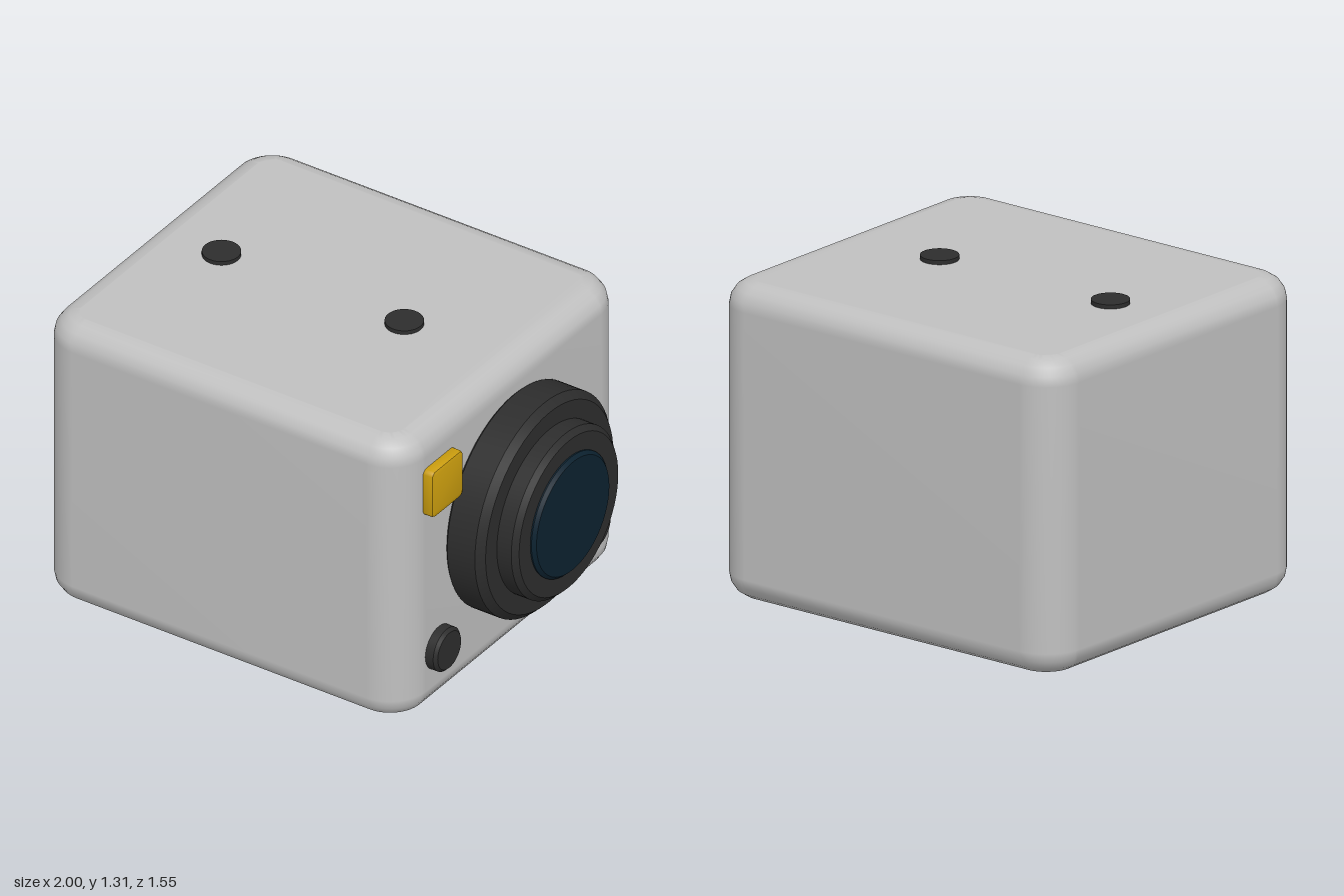
import * as THREE from 'three';
import { mergeVertices, toCreasedNormals } from 'three/addons/utils/BufferGeometryUtils.js';

const material = (name, color) => {
  const m = new THREE.MeshStandardMaterial({ color });
  m.name = name;
  return m;
};

// Rounded rectangle centred on the origin
function roundedRect(w, h, r) {
  const s = new THREE.Shape();
  const x = w / 2, y = h / 2;
  s.moveTo(-x + r, -y);
  s.lineTo(x - r, -y);
  s.absarc(x - r, -y + r, r, -Math.PI / 2, 0);
  s.lineTo(x, y - r);
  s.absarc(x - r, y - r, r, 0, Math.PI / 2);
  s.lineTo(-x + r, y);
  s.absarc(-x + r, y - r, r, Math.PI / 2, Math.PI);
  s.lineTo(-x, -y + r);
  s.absarc(-x + r, -y + r, r, Math.PI, Math.PI * 1.5);
  return s;
}

// Slab with rounded outline and bevelled rims, from z = 0 to z = depth
function slab(w, h, depth, radius, bevel, bevelSegments, curveSegments) {
  const g = new THREE.ExtrudeGeometry(roundedRect(w - 2 * bevel, h - 2 * bevel, radius - bevel), {
    depth: depth - 2 * bevel, bevelSize: bevel, bevelThickness: bevel, bevelSegments, curveSegments,
  });
  return g.translate(0, 0, bevel);
}

// Chamfered disc standing on y = 0
function disc(radius, height, chamfer, segments = 64) {
  const c = chamfer;
  const profile = [
    [0, 0], [radius - c, 0], [radius, c], [radius, height - c], [radius - c, height], [0, height],
  ].map(([r, y]) => new THREE.Vector2(r, y));
  return toCreasedNormals(new THREE.LatheGeometry(profile, segments), 0.5);
}

export function createModel() {
  const model = new THREE.Group();
  model.name = 'camera';
  const shell = material('light grey shell', 0xc0c0c0);
  const black = material('black plastic', 0x2d2d2d);
  const glass = material('dark blue glass', 0x0c2230);
  const yellow = material('yellow', 0xc99c0e);

  const add = (name, geometry, mat, x, y, z, sideways = false) => {
    const mesh = new THREE.Mesh(geometry, mat);
    mesh.name = name;
    mesh.position.set(x, y, z);
    if (sideways) mesh.rotation.z = -Math.PI / 2;
    model.add(mesh);
  };

  // Soft-edged body
  let body = slab(1.72, 1.55, 1.295, 0.17, 0.1, 4, 6);
  body.deleteAttribute('normal');
  body.deleteAttribute('uv');
  body = mergeVertices(body, 1e-4);
  body.computeVertexNormals();
  body.rotateX(-Math.PI / 2);
  add('body', body, shell, -0.14, 0, 0);

  // Stepped lens on the +x face
  add('lensBase', disc(0.473, 0.19, 0.03), black, 0.7, 0.693, 0, true);
  add('lensRing', disc(0.365, 0.18, 0.022), black, 0.8, 0.693, 0, true);
  add('lensGlass', disc(0.266, 0.1, 0.014), glass, 0.9, 0.693, 0, true);

  // Two small knobs below the lens
  for (const z of [0.517, -0.517]) {
    add('knob', disc(0.094, 0.07, 0.013, 32), black, 0.7, 0.262, z, true);
  }

  // Yellow indicator beside the lens
  const indicator = toCreasedNormals(slab(0.215, 0.215, 0.065, 0.025, 0.014, 2, 3), 0.6);
  indicator.rotateY(Math.PI / 2);
  add('indicator', indicator, yellow, 0.7, 1.037, 0.517);

  // Two flat buttons on top
  for (const x of [-0.657, 0.205]) {
    add('topButton', new THREE.CylinderGeometry(0.077, 0.077, 0.03, 32), black, x, 1.297, 0);
  }
  return model;
}
